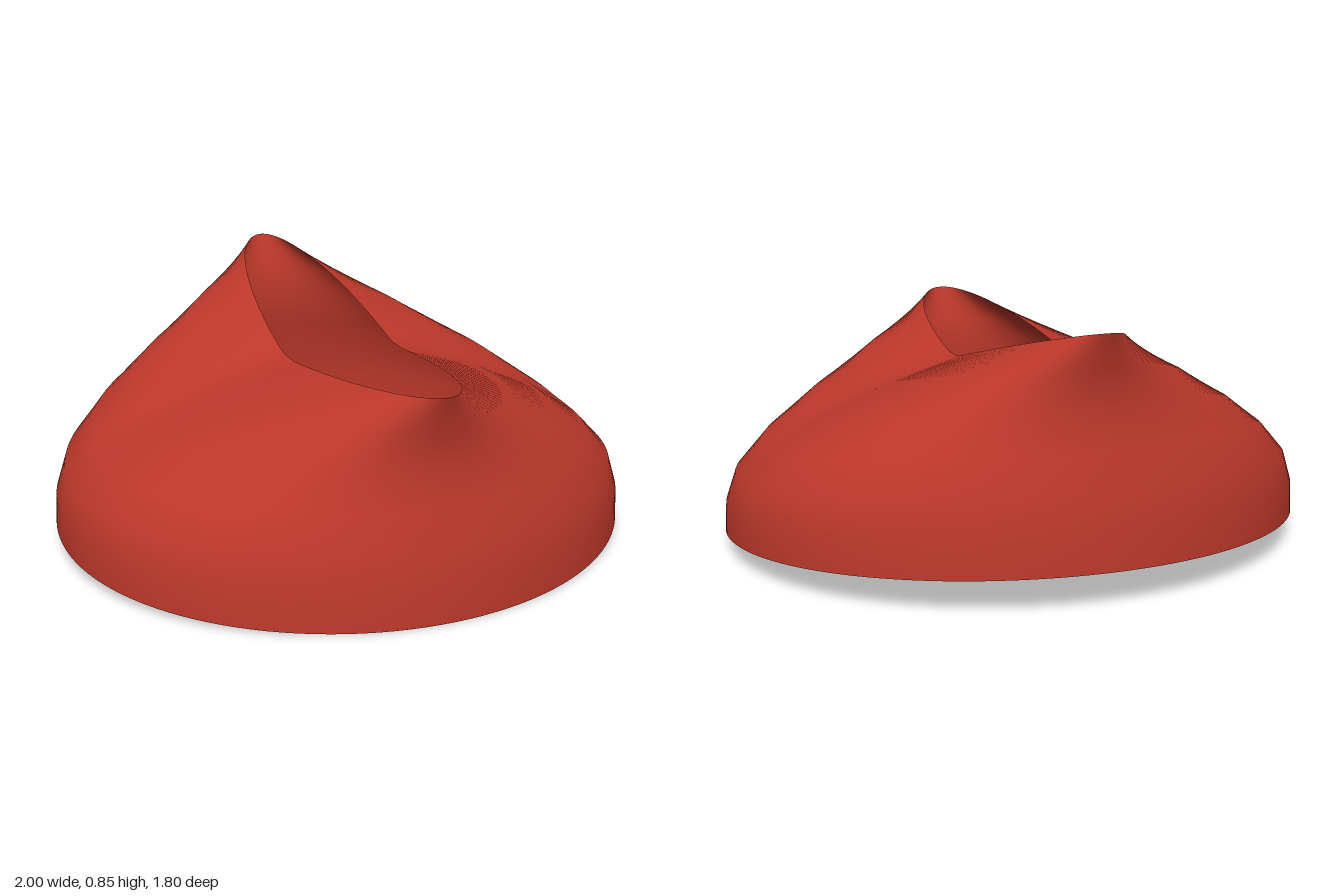
import * as THREE from 'three';

// Half-widths of the evenly spaced rings, from the base rim to the slot rim
const RX = [1, 0.994, 0.96, 0.865, 0.715, 0.5, 0.2];
const RZ = [0.9, 0.898, 0.885, 0.858, 0.838, 0.856, 0.9];
const SIDES = 128;

// Tilted flat base rim, lower at the front
const baseY = (z) => 0.06 - 0.0667 * z;
// Slot rim rising to a low front peak and a higher back peak
const slotY = (z) => 0.627 + Math.max(0, z - 0.09) * 0.127 + Math.max(0, -z - 0.02) * 0.248;

// Thin shell lofted through elliptical rings
function shellGeometry() {
  const positions = [];
  const indices = [];
  const last = RX.length - 1;
  for (let i = 0; i <= last; i++) {
    for (let j = 0; j < SIDES; j++) {
      const a = (j / SIDES) * Math.PI * 2;
      const z = 0.9 * Math.cos(a);
      const y = THREE.MathUtils.lerp(baseY(z), slotY(z), i / last);
      positions.push(RX[i] * Math.sin(a), y, RZ[i] * Math.cos(a));
      if (i < last) {
        const p = i * SIDES + j;
        const q = i * SIDES + ((j + 1) % SIDES);
        indices.push(p, q, q + SIDES, p, q + SIDES, p + SIDES);
      }
    }
  }
  const geometry = new THREE.BufferGeometry();
  geometry.setAttribute('position', new THREE.Float32BufferAttribute(positions, 3));
  geometry.setIndex(indices);
  geometry.computeVertexNormals();
  return geometry;
}

export function createModel() {
  const group = new THREE.Group();
  group.name = 'slottedCap';
  const material = new THREE.MeshStandardMaterial({ color: 0xc0392b, side: THREE.DoubleSide });
  const shell = new THREE.Mesh(shellGeometry(), material);
  shell.name = 'shell';
  group.add(shell);
  return group;
}
